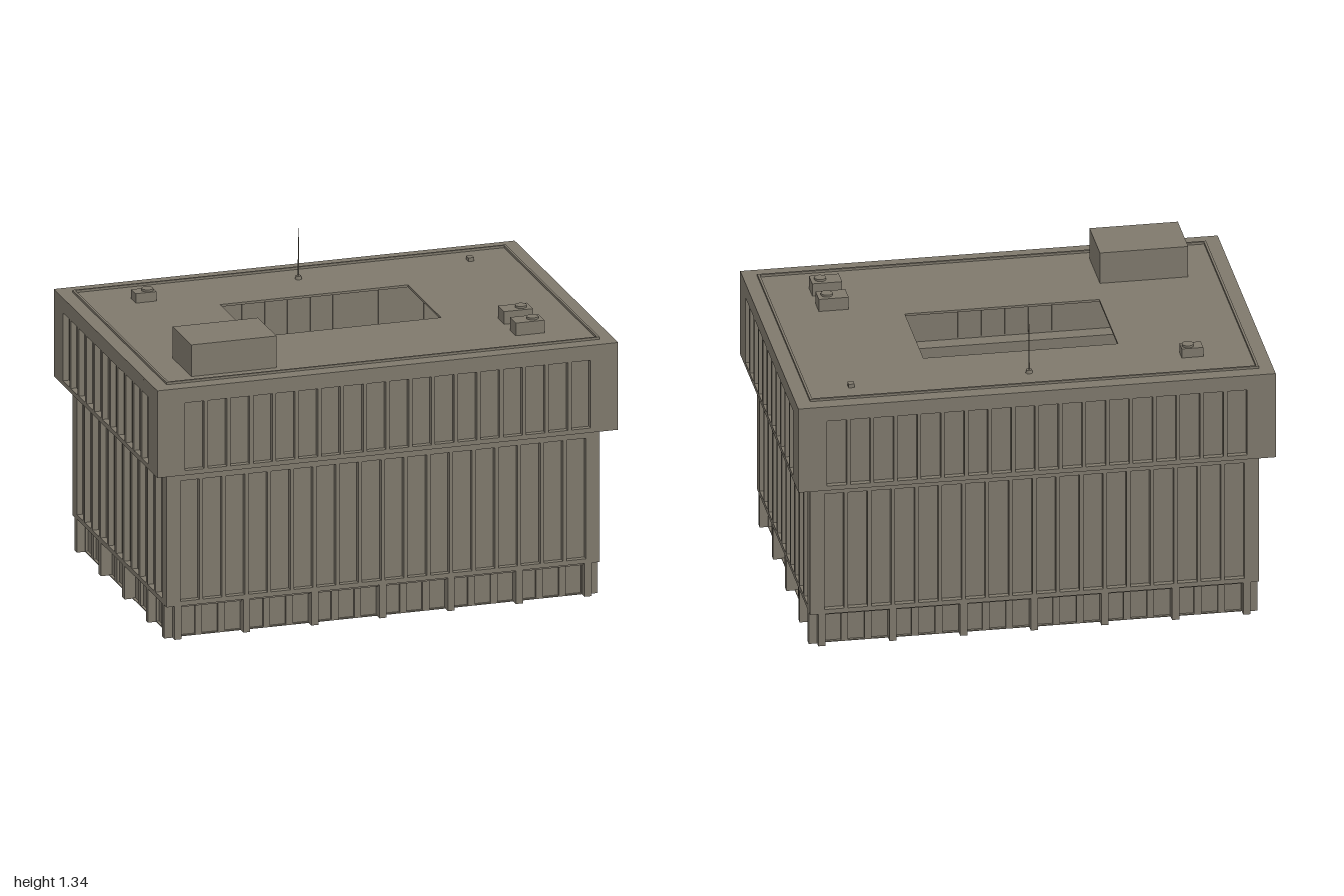
import * as THREE from 'three';

const stone = new THREE.MeshStandardMaterial({ color: 0x7f796c });
stone.name = 'weathered stone';

function add(parent, name, geometry, x = 0, y = 0, z = 0) {
  const m = new THREE.Mesh(geometry, stone);
  m.name = name;
  m.position.set(x, y, z);
  parent.add(m);
  return m;
}

// box given by its limits
function block(parent, name, x0, x1, y0, y1, z0, z1) {
  return add(parent, name, new THREE.BoxGeometry(x1 - x0, y1 - y0, z1 - z0),
    (x0 + x1) / 2, (y0 + y1) / 2, (z0 + z1) / 2);
}

function rect(path, x0, x1, y0, y1) {
  path.moveTo(x0, y0);
  path.lineTo(x1, y0);
  path.lineTo(x1, y1);
  path.lineTo(x0, y1);
  path.closePath();
  return path;
}

// flat slab with a rectangular opening; limits are in x and z
function ring(parent, name, y, height, outer, inner) {
  const flip = ([x0, x1, z0, z1]) => [x0, x1, -z1, -z0];
  const shape = rect(new THREE.Shape(), ...flip(outer));
  shape.holes.push(rect(new THREE.Path(), ...flip(inner)));
  const g = new THREE.ExtrudeGeometry(shape, { depth: height, bevelEnabled: false });
  g.rotateX(-Math.PI / 2);
  return add(parent, name, g, 0, y, 0);
}

const centred = (x, z) => [-x, x, -z, z];

// wall whose outer face lies at z = face, with recessed window panels
function wall(parent, name, half, y0, y1, face, depth, windows, w0, w1) {
  const shape = rect(new THREE.Shape(), -half, half, y0, y1);
  for (const [a, b] of windows) shape.holes.push(rect(new THREE.Path(), a, b, w0, w1));
  add(parent, name + 'Wall', new THREE.ExtrudeGeometry(shape, { depth, bevelEnabled: false }), 0, 0, face - depth);
  for (const [a, b] of windows) {
    block(parent, name + 'Panel', a - 0.003, b + 0.003, w0 - 0.002, w1 + 0.003, face - depth - 0.005, face - depth);
  }
}

// evenly spaced window columns as [left, right] pairs
function columns(half, count, gap, trim = 0) {
  const pitch = (2 * half + gap) / count;
  return Array.from({ length: count }, (_, i) =>
    [-half + i * pitch + trim, -half + (i + 1) * pitch - gap - trim]);
}

// one complete side of the building, facing +z
function facade({ name, upperHalf, upperFace, lowerHalf, lowerFace, winHalf, count, gap, t, corner }) {
  const g = new THREE.Group();
  g.name = name;
  const wins = columns(winHalf, count, gap);
  wall(g, 'upper', upperHalf - t, 0.745, 1.105, upperFace, 0.025, wins, 0.755, 1.05);
  wall(g, 'lower', lowerHalf - t, 0.155, 0.735, lowerFace, 0.025, wins, 0.165, 0.69);
  wall(g, 'ground', lowerHalf - 0.035 - t, 0, 0.145, lowerFace - 0.035, 0.012,
    columns(winHalf, count, gap, 0.007), 0.004, 0.13);

  // pillars after every third window, plus one near each corner
  const pitch = (2 * winHalf + gap) / count;
  const centres = [-corner, corner];
  for (let i = 3; i < count; i += 3) centres.push(-winHalf + i * pitch - gap / 2);
  for (const x of centres) {
    block(g, 'pillar', x - 0.015, x + 0.015, 0, 0.145, lowerFace - 0.035, lowerFace);
  }
  // lintel strip above the ground windows
  block(g, 'lintel', -winHalf, winHalf, 0.132, 0.145, lowerFace - 0.035, lowerFace - 0.022);
  return g;
}

// roof unit with a round fan on top
function roofUnit(parent, x0, x1, top, z0, z1, fanX) {
  const g = new THREE.Group();
  g.name = 'coolingUnit';
  parent.add(g);
  block(g, 'unitCase', x0, x1, 1.115, top, z0, z1);
  add(g, 'unitFan', new THREE.CylinderGeometry(0.025, 0.025, 0.009, 12), fanX, top + 0.0045, (z0 + z1) / 2);
}

export function createModel() {
  const model = new THREE.Group();
  model.name = 'courtyardBuilding';

  // four sides, opposite ones turned by half a circle
  for (const turn of [0, Math.PI]) {
    const long = facade({
      name: 'longSide', upperHalf: 1, upperFace: 0.688, lowerHalf: 0.94, lowerFace: 0.625,
      winHalf: 0.88, count: 18, gap: 0.0155, t: 0, corner: 0.89,
    });
    long.rotation.y = turn;
    const short = facade({
      name: 'shortSide', upperHalf: 0.688, upperFace: 1, lowerHalf: 0.625, lowerFace: 0.94,
      winHalf: 0.565, count: 11, gap: 0.02, t: 0.025, corner: 0.58,
    });
    short.rotation.y = turn + Math.PI / 2;
    model.add(long, short);
  }

  // roof with courtyard opening, overhang soffits and low rim
  ring(model, 'roof', 1.105, 0.01, centred(1, 0.688), [-0.41, 0.405, -0.285, 0.155]);
  ring(model, 'roofRim', 1.115, 0.01, centred(0.94, 0.625), centred(0.93, 0.615));
  ring(model, 'upperSoffit', 0.735, 0.01, centred(1, 0.688), centred(0.91, 0.595));
  ring(model, 'lowerSoffit', 0.145, 0.01, centred(0.94, 0.625), centred(0.888, 0.573));

  // rooftop equipment
  block(model, 'stairHouse', -0.81, -0.44, 1.115, 1.253, 0.31, 0.557);
  roofUnit(model, 0.625, 0.75, 1.17, 0.24, 0.32, 0.71);
  roofUnit(model, 0.625, 0.75, 1.17, 0.395, 0.475, 0.71);
  roofUnit(model, -0.735, -0.645, 1.156, -0.47, -0.41, -0.675);
  block(model, 'ventBox', 0.735, 0.76, 1.115, 1.131, -0.52, -0.49);

  // antenna
  add(model, 'antennaBase', new THREE.CylinderGeometry(0.012, 0.015, 0.014, 8), 0, 1.122, -0.5);
  add(model, 'antennaMast', new THREE.CylinderGeometry(0.0015, 0.003, 0.215, 6), 0, 1.2275, -0.5);
  return model;
}
